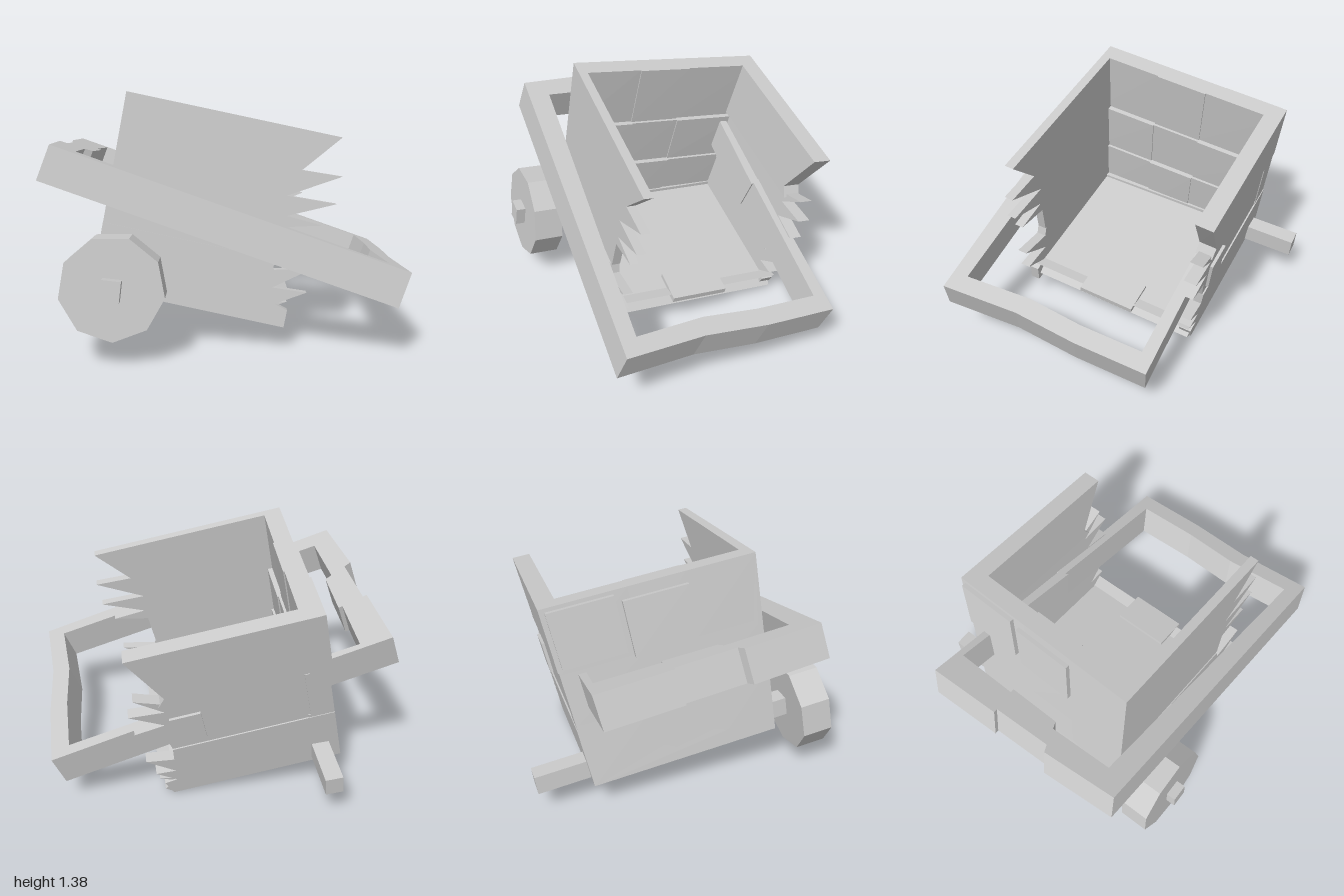
import * as THREE from 'three';

const material = new THREE.MeshStandardMaterial({ color: 0xcccccc, flatShading: true, side: THREE.DoubleSide });
const V = (x, y, z) => new THREE.Vector3(x, y, z);

// Tilted tub space: s runs along the tub, h upward, t from back wall to front wall
const U = V(1, -0.21, 0.125);
const corner = {
  backLow: V(-0.65, 0.2, -0.55), backTop: V(-0.4, 1.22, -0.73),
  frontLow: V(-0.74, 0.34, 0.5), frontTop: V(-0.53, 1.38, 0.41),
};
function tubPoint(s, h, t) {
  const back = corner.backLow.clone().lerp(corner.backTop, h);
  const front = corner.frontLow.clone().lerp(corner.frontTop, h);
  return back.lerp(front, t).addScaledVector(U, s);
}

// Moves every vertex of a geometry by a rule
function warp(geometry, rule) {
  const g = geometry.index ? geometry.toNonIndexed() : geometry;
  const p = g.attributes.position;
  for (let i = 0; i < p.count; i++) {
    const q = rule(p.getX(i), p.getY(i), p.getZ(i));
    p.setXYZ(i, q.x, q.y, q.z);
  }
  g.computeVertexNormals();
  return g;
}

function add(parent, name, geometry) {
  const mesh = new THREE.Mesh(geometry, material);
  mesh.name = name;
  parent.add(mesh);
  return mesh;
}

function slab(outline, depth) {
  const shape = new THREE.Shape(outline.map(([x, y]) => new THREE.Vector2(x, y)));
  return new THREE.ExtrudeGeometry(shape, { depth, bevelEnabled: false });
}

// Panel with its outline in (s, h) and its thickness along t
function panel(parent, name, outline, t0, t1) {
  add(parent, name, warp(slab(outline, t1 - t0).translate(0, 0, t0), tubPoint));
}

// Block in tub space
function block(parent, name, [s0, s1], [h0, h1], [t0, t1]) {
  const box = new THREE.BoxGeometry(s1 - s0, h1 - h0, t1 - t0)
    .translate((s0 + s1) / 2, (h0 + h1) / 2, (t0 + t1) / 2);
  add(parent, name, warp(box, tubPoint));
}

function buildTub() {
  const tub = new THREE.Group();
  tub.name = 'tub';

  // Side walls with splintered ends, split into panels
  panel(tub, 'frontUpperPanel', [[0, 0.335], [0.91, 0.335], [0.92, 0.5], [1.12, 0.55], [0.93, 0.56],
    [1.17, 0.67], [0.91, 0.66], [1.17, 0.81], [0.96, 0.8], [1.13, 1], [0, 1]], 0.955, 1);
  panel(tub, 'frontLowerPanel', [[0, 0], [1.03, 0], [1.03, 0.09], [0.96, 0.11], [1.11, 0.2],
    [0.93, 0.19], [1.12, 0.33], [0.92, 0.28], [0.9, 0.335], [0, 0.335]], 0.955, 1.006);
  panel(tub, 'backUpperPanel', [[0, 0.66], [0.9, 0.66], [0.86, 0.71], [1, 1], [0, 1]], -0.004, 0.085);
  panel(tub, 'backMiddlePanel', [[0, 0.335], [0.9, 0.335], [0.92, 0.45], [1.07, 0.5], [0.9, 0.52],
    [1.07, 0.63], [0.88, 0.61], [1.02, 0.73], [0.86, 0.66], [0, 0.66]], 0.004, 0.07);
  panel(tub, 'backLowerPanel', [[0, 0], [0.97, 0], [1, 0.09], [0.93, 0.1], [1.03, 0.18],
    [0.92, 0.17], [1.06, 0.29], [0.91, 0.26], [0.9, 0.335], [0, 0.335]], -0.004, 0.065);

  // Floor of two layers, each with an undercut end
  panel(tub, 'floor', [[0, 0], [0.97, 0], [1.01, 0.035], [0.94, 0.085], [1.02, 0.13],
    [0.95, 0.11], [0, 0.11]], 0.005, 0.99);
  block(tub, 'floorPatch', [0.86, 1.05], [0.1, 0.13], [0.34, 0.66]);

  // Closed end of boards, three columns by three rows, thicker toward the floor
  const columns = [[0, 0.4], [0.4, 0.67], [0.67, 1]];
  const rows = [[0, 0.355], [0.355, 0.645], [0.645, 1]];
  columns.forEach((column, c) => rows.forEach((row, r) => {
    block(tub, 'endBoard', [0, 0.145 - r * 0.022 + ((c + r) % 2) * 0.007], row, column);
  }));

  // Repair boards
  block(tub, 'backPatch', [0.7, 0.87], [0.38, 0.56], [-0.012, 0.01]);
  block(tub, 'endPatch', [-0.025, 0.01], [0.68, 0.98], [0.02, 0.33]);
  block(tub, 'endPatch', [-0.025, 0.01], [0.64, 0.94], [0.36, 0.67]);
  return tub;
}

// Sloping rail frame: corners as (x, z) on a tilted plane
const rise = V(0.07, 0.18, -0.03);
const onPlane = ([x, z]) => V(x, 0.521 - 0.367 * x + 0.106 * z, z);
const outer = [[-0.99, 0.62], [0.85, 0.86], [0.93, -0.37], [-0.93, -0.59]].map(onPlane);
const inner = [[-0.87, 0.51], [0.755, 0.76], [0.825, -0.31], [-0.77, -0.53]].map(onPlane);

// Part of the rail on one side, from k0 to k1, shifted inward by a small amount at each end
function rail(parent, name, side, k0, k1, shift0 = 0, shift1 = 0) {
  const next = (side + 1) % 4;
  const inward = inner[side].clone().sub(outer[side]).add(inner[next]).sub(outer[next]).normalize();
  add(parent, name, warp(new THREE.BoxGeometry(1, 1, 1), (x, y, z) => {
    const k = k0 + (k1 - k0) * (x + 0.5);
    const a = outer[side].clone().lerp(outer[next], k);
    const b = inner[side].clone().lerp(inner[next], k);
    return b.lerp(a, z + 0.5).addScaledVector(rise, y + 0.5)
      .addScaledVector(inward, shift0 + (shift1 - shift0) * (x + 0.5));
  }));
}

function buildFrame() {
  const frame = new THREE.Group();
  frame.name = 'railFrame';
  rail(frame, 'frontRail', 0, 0, 1);
  rail(frame, 'openEndRail', 1, 0, 0.36, 0, 0.025);
  rail(frame, 'openEndRail', 1, 0.36, 0.66, 0.025, 0);
  rail(frame, 'openEndRail', 1, 0.66, 1);
  rail(frame, 'backRail', 2, 0, 0.49);
  rail(frame, 'backRail', 2, 0.49, 1, 0.02, 0);
  rail(frame, 'closedEndRail', 3, 0, 0.35);
  rail(frame, 'closedEndRail', 3, 0.35, 0.64, 0.025, 0.025);
  rail(frame, 'closedEndRail', 3, 0.64, 1, -0.02, 0);
  return frame;
}

// Square axle with one remaining wheel
function buildAxle() {
  const axle = new THREE.Group();
  axle.name = 'axle';
  const start = V(-0.5, 0.215, -0.85), end = V(-0.62, 0.425, 0.85);
  const direction = end.clone().sub(start);
  const length = direction.length();
  axle.position.copy(start);
  axle.quaternion.setFromUnitVectors(V(0, 0, 1), direction.normalize());
  const bar = new THREE.BoxGeometry(0.1, 0.11, length).translate(0, 0, length / 2);
  add(axle, 'axleBar', bar.rotateZ(-0.12));
  const wheel = new THREE.CylinderGeometry(0.275, 0.275, 0.17, 9).rotateX(Math.PI / 2);
  add(axle, 'wheel', wheel).position.z = length - 0.14;
  return axle;
}

export function createModel() {
  const cart = new THREE.Group();
  cart.name = 'brokenCart';
  cart.add(buildTub(), buildFrame(), buildAxle());
  return cart;
}
